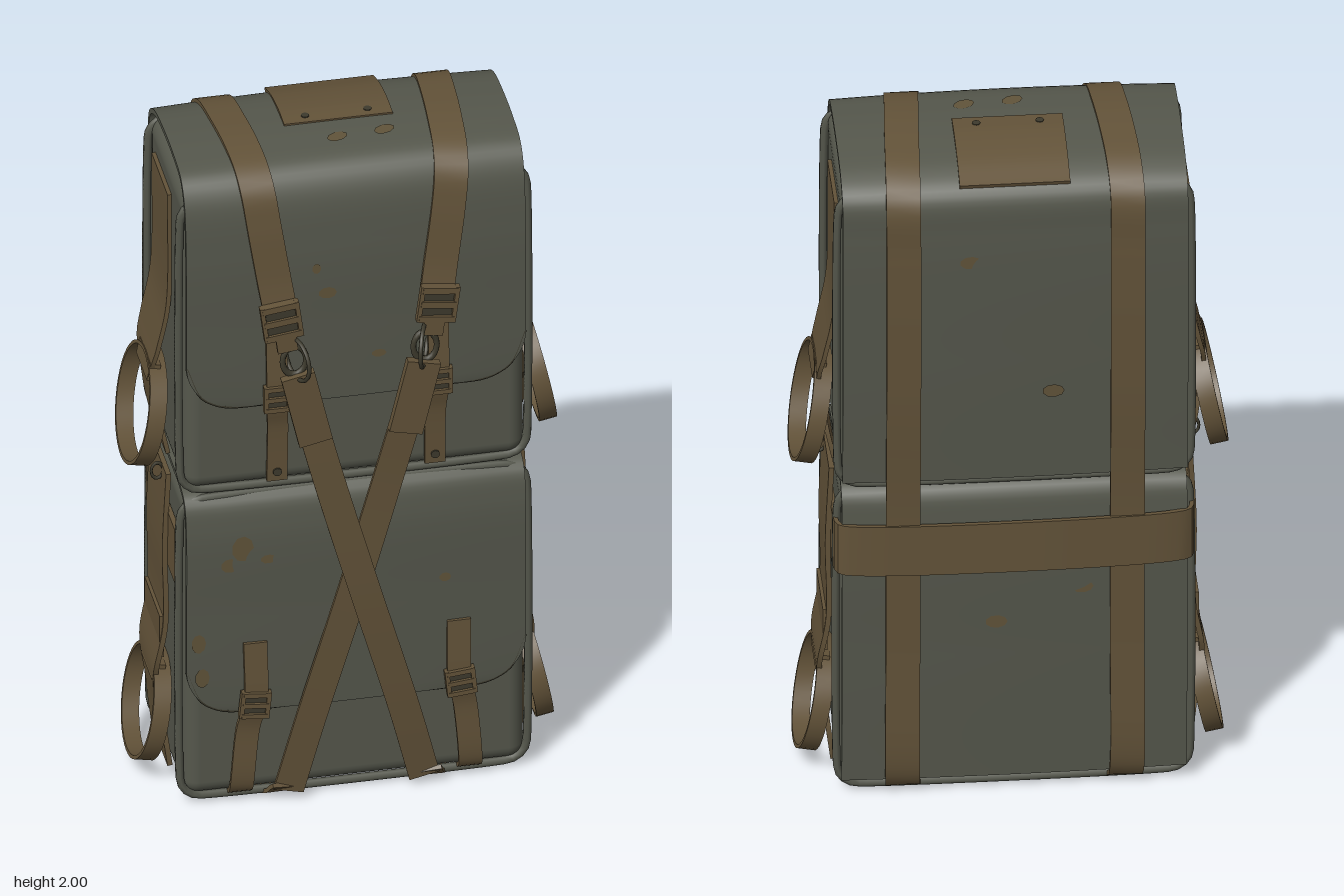
import * as THREE from 'three';
import { toCreasedNormals } from 'three/addons/utils/BufferGeometryUtils.js';
import { RoundedBoxGeometry } from 'three/addons/geometries/RoundedBoxGeometry.js';

const mat = (name, color) => {
  const m = new THREE.MeshStandardMaterial({ color });
  m.name = name;
  return m;
};
const V = (p) => new THREE.Vector3(...p);

// Strip of cloth swept along a smooth path; half-width may vary, and the middle may bulge.
function ribbon(points, half, across, thick, { rows = 40, cols = 1, bulge = 0 } = {}) {
  const curve = new THREE.CatmullRomCurve3(points.map(V), false, 'centripetal');
  const pos = [], index = [], ring = 2 * (cols + 1);
  for (let i = 0; i <= rows; i++) {
    const p = curve.getPointAt(i / rows), t = curve.getTangentAt(i / rows);
    const w = V(across).addScaledVector(t, -V(across).dot(t)).normalize();
    const n = new THREE.Vector3().crossVectors(t, w);
    const h = typeof half === 'function' ? half(p) : half;
    for (let k = 0; k < ring; k++) {
      const top = k <= cols, u = (2 * (top ? k : ring - 1 - k)) / cols - 1;
      const q = p.clone().addScaledVector(w, u * h)
        .addScaledVector(n, (top ? thick : -thick) / 2 + bulge * (1 - u * u));
      pos.push(q.x, q.y, q.z);
    }
  }
  for (let i = 0; i < rows; i++) for (let k = 0; k < ring; k++) {
    const a = i * ring + k, b = i * ring + ((k + 1) % ring);
    index.push(a, a + ring, b + ring, a, b + ring, b);
  }
  for (let j = 0; j < cols; j++) {
    const a = j, b = j + 1, c = ring - 2 - j, d = ring - 1 - j, e = rows * ring;
    index.push(a, b, c, a, c, d, e + a, e + c, e + b, e + a, e + d, e + c);
  }
  const g = new THREE.BufferGeometry();
  g.setAttribute('position', new THREE.Float32BufferAttribute(pos, 3));
  g.setIndex(index);
  return toCreasedNormals(g, 0.6);
}

// Piping around a rounded rectangle in the xy plane
function piping(w, y0, y1, r, z) {
  const path = new THREE.CurvePath(), x = w - r, s = r * 0.3;
  const pts = [];
  for (const [cx, cy, a0] of [[x, y1 - r, 0], [-x, y1 - r, 1], [-x, y0 + r, 2], [x, y0 + r, 3]])
    for (let i = 0; i <= 5; i++) {
      const a = (a0 + i / 5) * Math.PI / 2;
      pts.push(new THREE.Vector3(cx + r * Math.cos(a), cy + r * Math.sin(a), z));
    }
  pts.forEach((p, i) => path.add(new THREE.LineCurve3(p, pts[(i + 1) % pts.length])));
  return new THREE.TubeGeometry(new THREE.CatmullRomCurve3(pts, true, 'centripetal'), 160, Math.min(s, 0.012), 6, true);
}

export function createModel() {
  const root = new THREE.Group();
  const canvas = mat('canvas grey green', 0x55574c);
  const webbing = mat('webbing brown', 0x635339);
  const stain = mat('rust stain', 0x61543a);
  const metal = mat('dark metal', 0x3d3a2d);

  const add = (name, geo, m, p = [0, 0, 0], r = [0, 0, 0], parent = root) => {
    const mesh = new THREE.Mesh(geo, m);
    mesh.name = name;
    mesh.position.set(...p);
    mesh.rotation.set(...r);
    parent.add(mesh);
    return mesh;
  };
  const box = (name, m, size, p, r, parent) => add(name, new THREE.BoxGeometry(...size), m, p, r, parent);

  // Flap outline: full width, rounded off at the front lower corners
  const flapHalf = (w, yb, r) => (p) => {
    if (p.z < 0.1 || p.y > yb + r) return w;
    const d = r - Math.max(0, p.y - yb);
    return w - r + Math.sqrt(Math.max(0, r * r - d * d));
  };

  // Bag bodies, piping and flaps
  const bags = [
    { name: 'upper', y0: 1.0, y1: 1.925, back: -0.275, flapEnd: 1.27, path: [
      [0, 1.02, -0.285], [0, 1.4, -0.295], [0, 1.8, -0.297], [0, 1.91, -0.285], [0, 1.955, -0.22],
      [0, 1.975, -0.1], [0, 1.977, 0.04], [0, 1.962, 0.13], [0, 1.91, 0.172], [0, 1.75, 0.195],
      [0, 1.5, 0.198], [0, 1.27, 0.198]] },
    { name: 'lower', y0: 0.025, y1: 0.975, back: -0.25, flapEnd: 0.3, path: [
      [0, 0.05, -0.255], [0, 0.45, -0.265], [0, 0.88, -0.268], [0, 0.955, -0.25], [0, 0.98, -0.18],
      [0, 0.982, 0], [0, 0.978, 0.12], [0, 0.955, 0.175], [0, 0.88, 0.196], [0, 0.6, 0.199], [0, 0.3, 0.198]] },
  ];
  for (const b of bags) {
    const g = new THREE.Group();
    g.name = b.name + 'Bag';
    root.add(g);
    const h = b.y1 - b.y0, depth = 0.185 - b.back;
    add('bagBody', new RoundedBoxGeometry(0.93, h, depth, 4, 0.045), canvas,
      [0, b.y0 + h / 2, (0.185 + b.back) / 2], undefined, g);
    for (const z of [0.165, b.back + 0.02])
      add('piping', piping(0.472, b.y0 - 0.004, b.y1 - 0.01, 0.06, z), canvas, undefined, undefined, g);
    add('flap', ribbon(b.path, flapHalf(0.462, b.flapEnd, 0.14), [1, 0, 0], 0.014,
      { rows: 150, cols: 10, bulge: 0.008 }), canvas, undefined, undefined, g);
    // Thin dark edge under the flap
    const rim = [];
    for (let i = 0; i <= 24; i++) {
      const x = -0.46 + 0.92 * i / 24, d = Math.max(0, Math.abs(x) - 0.32);
      rim.push(new THREE.Vector3(x, b.flapEnd + 0.14 - Math.sqrt(Math.max(0, 0.0196 - d * d)), 0.2));
    }
    add('flapRim', new THREE.TubeGeometry(new THREE.CatmullRomCurve3(rim), 60, 0.006, 5), metal,
      undefined, undefined, g);
  }

  // Grip patch with rivets on top and a plain patch underneath
  add('topPatch', ribbon([[0, 1.945, -0.285], [0, 1.975, -0.2], [0, 1.992, -0.1], [0, 1.992, -0.03]],
    0.148, [1, 0, 0], 0.012), webbing);
  for (const x of [-0.085, 0.085])
    add('patchRivet', new THREE.CylinderGeometry(0.011, 0.011, 0.006, 12), metal, [x, 1.998, -0.06]);
  box('bottomPatch', webbing, [0.26, 0.012, 0.26], [0, 0.02, -0.06]);

  // Ladder buckle
  const buckle = (name, p, w, h, tilt) => {
    const g = new THREE.Group();
    g.name = name;
    g.position.set(...p);
    g.rotation.z = tilt;
    root.add(g);
    for (const s of [-1, 1]) box('buckleSide', webbing, [0.012, h, 0.02], [s * w / 2, 0, 0], undefined, g);
    for (const k of [-1, 0, 1]) box('buckleBar', webbing, [w, h * 0.17, 0.024], [0, k * h * 0.41, 0], undefined, g);
    box('buckleSlot', metal, [w * 0.85, h * 0.8, 0.008], [0, 0, 0], undefined, g);
  };

  for (const s of [-1, 1]) {
    // Carrying strap: over the top, down the back, under the bottom
    add('carryStrap', ribbon([
      [s * 0.205, 1.53, 0.245], [s * 0.225, 1.66, 0.222], [s * 0.25, 1.83, 0.205], [s * 0.263, 1.93, 0.182],
      [s * 0.27, 1.974, 0.132], [s * 0.278, 1.993, 0.03], [s * 0.288, 1.99, -0.1], [s * 0.296, 1.968, -0.23],
      [s * 0.3, 1.91, -0.302], [s * 0.3, 1.75, -0.314], [s * 0.3, 1.3, -0.312], [s * 0.3, 0.95, -0.293],
      [s * 0.3, 0.5, -0.284], [s * 0.3, 0.06, -0.272], [s * 0.295, 0.018, -0.235], [s * 0.24, 0.012, 0.05],
      [s * 0.2, 0.014, 0.17], [s * 0.185, 0.05, 0.21]], 0.046, [1, 0, 0], 0.012, { rows: 140 }), webbing);
    // Crossed front strap, with its folded sleeve
    const lift = 0.009 * s;
    add('crossStrap', ribbon([[s * 0.185, 0.03, 0.205], [s * 0.125, 0.27, 0.225 + lift / 2], [s * 0.02, 0.65, 0.244 + lift],
      [-s * 0.08, 1.02, 0.25 + lift], [-s * 0.17, 1.38, 0.26]], 0.042, [1, 0, 0], 0.01), webbing);
    add('strapSleeve', ribbon([[-s * 0.122, 1.17, 0.258], [-s * 0.172, 1.39, 0.262]], 0.046, [1, 0, 0], 0.024,
      { rows: 6 }), webbing);
    // Ring and snap hook joining the two straps
    add('strapRing', new THREE.TorusGeometry(0.06, 0.006, 8, 32), metal, [s * 0.172, 1.44, 0.263],
      [0, Math.PI / 2 - s * 0.35, 0]);
    add('snapHook', new THREE.TorusGeometry(0.032, 0.008, 8, 20), metal, [s * 0.178, 1.43, 0.25])
      .scale.set(1, 1.4, 1);
    buckle('strapBuckle', [s * 0.213, 1.56, 0.25], 0.095, 0.11, -s * 0.13);
    box('strapTab', webbing, [0.055, 0.05, 0.014], [s * 0.2, 1.49, 0.254], [0, 0, -s * 0.13]);

    // Flap closures on the upper bag
    add('upperClosure', ribbon([[s * 0.22, 1.48, 0.217], [s * 0.22, 1.28, 0.224], [s * 0.215, 1.2, 0.208],
      [s * 0.215, 1.02, 0.196]], 0.028, [1, 0, 0], 0.012), webbing);
    buckle('upperClosureBuckle', [s * 0.22, 1.3, 0.228], 0.062, 0.08, 0);
    add('closureRivet', new THREE.CylinderGeometry(0.012, 0.012, 0.008, 12), metal, [s * 0.215, 1.05, 0.205],
      [Math.PI / 2, 0, 0]);
    // Flap closures on the lower bag
    add('lowerClosure', ribbon([[s * 0.277, 0.52, 0.214], [s * 0.278, 0.33, 0.222], [s * 0.295, 0.25, 0.208],
      [s * 0.312, 0.05, 0.196], [s * 0.312, 0.02, 0.16]], 0.032, [1, 0, 0], 0.012), webbing);
    buckle('lowerClosureBuckle', [s * 0.28, 0.33, 0.226], 0.07, 0.08, s * 0.1);

    // Side straps with a narrowed waist, and the hanging loops
    const waist = (y) => (p) => 0.105 - 0.035 * Math.exp(-(((p.y - y) / 0.08) ** 2));
    const across = [0, 0, -s];
    add('upperSideStrap', ribbon([[s * 0.47, 1.85, -0.083], [s * 0.474, 1.5, -0.083], [s * 0.5, 1.36, -0.083],
      [s * 0.515, 1.28, -0.08], [s * 0.5, 1.15, -0.075], [s * 0.476, 1.03, -0.075]], waist(1.22), across, 0.012), webbing);
    add('lowerSideStrap', ribbon([[s * 0.48, 0.98, -0.05], [s * 0.49, 0.75, -0.05], [s * 0.488, 0.5, -0.05],
      [s * 0.512, 0.34, -0.05], [s * 0.495, 0.2, -0.05], [s * 0.476, 0.05, -0.05]], waist(0.26), across, 0.014), webbing);
    box('sideStrapFold', webbing, [0.012, 0.13, 0.2], [s * 0.497, 0.46, -0.05]);
    for (const [y, z, r, x] of [[1.14, -0.062, 0.168, 0.53], [0.2, -0.045, 0.16, 0.52]]) {
      const band = new THREE.LatheGeometry([[r - 0.01, -0.024], [r, -0.024], [r, 0.024], [r - 0.01, 0.024],
        [r - 0.01, -0.024]].map((p) => new THREE.Vector2(...p)), 40);
      add('sideLoop', toCreasedNormals(band, 0.6), webbing, [s * x, y, z], [0, 0, Math.PI / 2 + s * 0.2]);
      box('loopBuckle', webbing, [0.03, 0.05, 0.14], [s * (x - 0.02), y + r - 0.03, z], [0, 0, s * 0.2]);
    }
    // Small hook near the top of the lower side strap
    add('sideHook', new THREE.TorusGeometry(0.016, 0.004, 6, 16), metal, [s * 0.5, 0.96, 0.0]).scale.y = 1.5;
    // Side tab of the back band
    box('bandSideTab', webbing, [0.014, 0.17, 0.37], [s * 0.475, 0.775, -0.045]);
  }

  // Wide band across the back of the lower bag
  add('backBand', ribbon([[-0.478, 0.8, -0.22], [-0.47, 0.8, -0.27], [-0.43, 0.8, -0.285], [0, 0.8, -0.302],
    [0.43, 0.8, -0.285], [0.47, 0.8, -0.27], [0.478, 0.8, -0.22]], 0.078, [0, 1, 0], 0.012, { rows: 60 }), webbing);

  // Small rust stains: x, y, z, radius x, radius y, facing rotation about x
  const face = (x) => 0.003 + 0.008 * (1 - (x / 0.46) ** 2);
  const spots = [[-0.08, 1.61, 0.205, 0.025, 0.018], [-0.11, 1.69, 0.205, 0.012, 0.016], [0.06, 1.4, 0.205, 0.02, 0.012],
    [-0.31, 0.82, 0.205, 0.03, 0.04], [-0.345, 0.77, 0.205, 0.025, 0.022], [-0.24, 0.78, 0.205, 0.022, 0.014],
    [0.24, 0.66, 0.206, 0.016, 0.014], [-0.43, 0.53, 0.206, 0.02, 0.03], [-0.42, 0.42, 0.206, 0.02, 0.03]];
  for (const [x, y, z, rx, ry] of spots)
    add('stain', new THREE.CircleGeometry(1, 9), stain, [x, y, z + face(x)]).scale.set(rx, ry, 1);
  for (const [x, y, z] of [[0.12, 1.72, -0.303], [-0.1, 1.3, -0.303], [0.05, 0.55, -0.273], [-0.18, 0.65, -0.274]])
    add('backStain', new THREE.CircleGeometry(1, 9), stain, [x, y, z - face(x)], [0, Math.PI, 0]).scale.set(0.03, 0.02, 1);
  for (const [x, z] of [[-0.02, 0.05], [0.11, 0.04]])
    add('topStain', new THREE.CircleGeometry(1, 9), stain, [x, 1.995, z], [-Math.PI / 2, 0, 0.4]).scale.set(0.03, 0.02, 1);

  return root;
}
